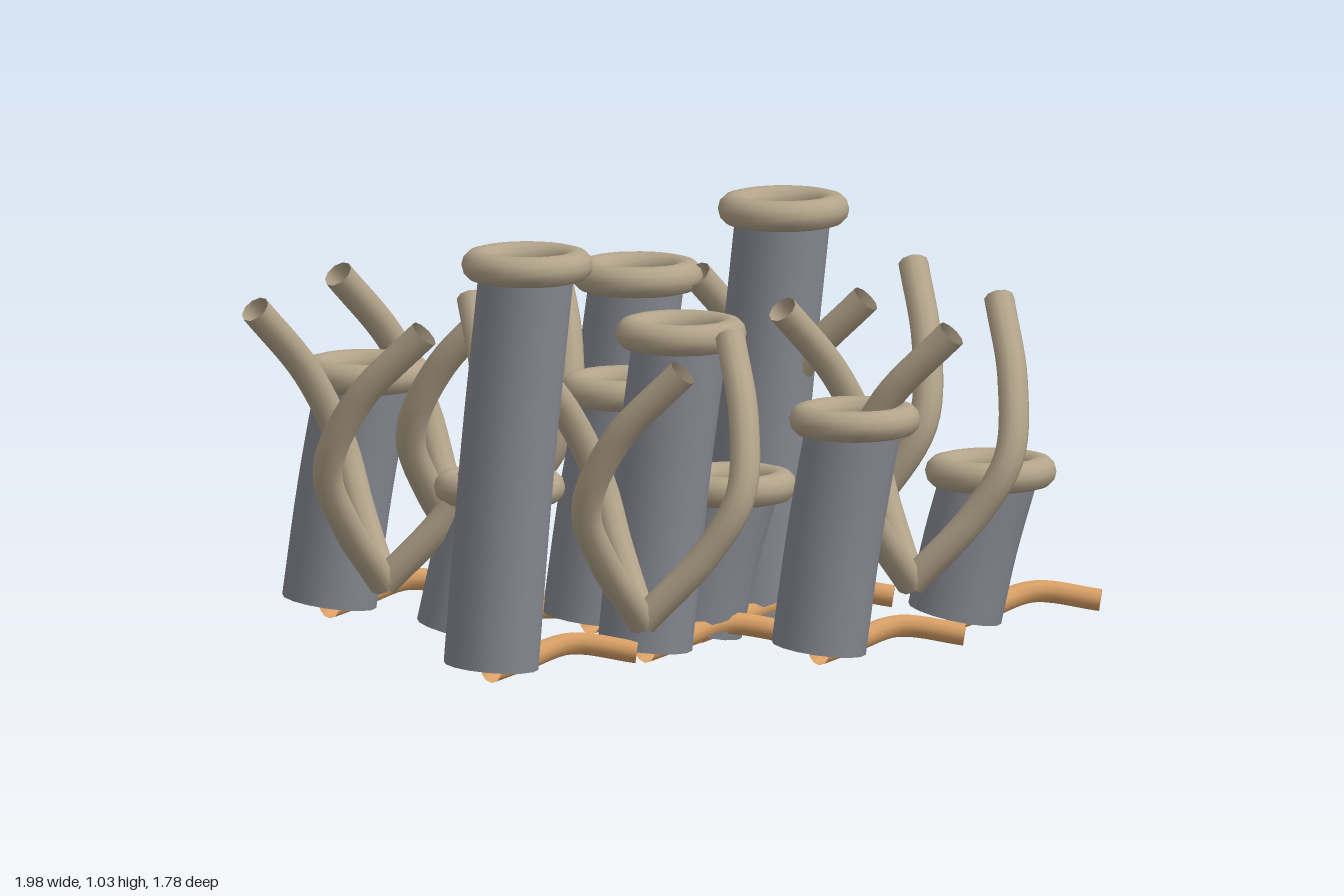
import * as THREE from 'three';

export function createModel() {
  const model = new THREE.Group();
  const mat = (name, color, side = THREE.DoubleSide) => {
    const m = new THREE.MeshStandardMaterial({ color, side });
    m.name = name;
    return m;
  };
  const grey = mat('tubeGrey', 0x888a93);
  const tan = mat('branchTan', 0xb3a48a);
  const orange = mat('rootOrange', 0xd9a066);
  const teal = mat('openingTeal', 0x4f6870);

  const v = (x, y, z) => new THREE.Vector3(x, y, z);
  const tube = (points, steps, radius, sides) =>
    new THREE.TubeGeometry(new THREE.CatmullRomCurve3(points), steps, radius, sides, false);
  const add = (parent, name, geometry, material) => {
    const mesh = new THREE.Mesh(geometry, material);
    mesh.name = name;
    parent.add(mesh);
    return mesh;
  };

  // Leaning hollow tubes: x and z of the mouth, height
  const LEAN = 0.085, BASE = 0.045;
  const tubes = [
    [-0.11, -0.64, 0.79], [-0.73, -0.385, 0.59], [-0.10, -0.20, 0.59],
    [0.26, -0.345, 1.0], [0.75, -0.33, 0.385], [-0.38, 0.005, 0.385],
    [0.16, -0.07, 0.385], [0.065, 0.205, 0.79], [0.475, 0.205, 0.59],
    [-0.27, 0.53, 1.0],
  ];
  const rimGeo = new THREE.TorusGeometry(0.118, 0.037, 12, 28).rotateX(Math.PI / 2);
  const discGeo = new THREE.CircleGeometry(0.1, 24).rotateX(-Math.PI / 2);
  const rootGeo = tube([
    v(0, 0.03, 0), v(0.07, 0.04, -0.13), v(0.17, 0.065, -0.215), v(0.325, 0.045, -0.222),
  ], 20, 0.027, 10);

  for (const [x, z, h] of tubes) {
    const g = new THREE.Group();
    g.name = 'tubeWithRoot';
    g.position.set(x - LEAN, 0, z);
    model.add(g);
    add(g, 'tubeWall', tube([
      v(0, BASE, 0), v(LEAN * 0.44, (BASE + h) / 2, 0), v(LEAN, h, 0),
    ], 10, 0.112, 16), grey);
    add(g, 'rim', rimGeo, tan).position.set(LEAN, h, 0);
    add(g, 'opening', discGeo, teal).position.set(LEAN, h - 0.015, 0);
    add(g, 'root', rootGeo, orange);
  }

  // Twisted three-armed branches
  const armGeo = tube([
    v(0, 0.16, 0), v(-0.08, 0.32, 0.125), v(-0.115, 0.46, 0.2),
    v(-0.04, 0.63, 0.245), v(0.12, 0.8, 0.285),
  ], 28, 0.036, 10);
  const clusters = [[-0.5, -0.49], [0.34, -0.56], [0.585, -0.06], [-0.65, 0.045], [0.005, 0.57]];
  for (const [x, z] of clusters) {
    const g = new THREE.Group();
    g.name = 'branchCluster';
    g.position.set(x, 0, z);
    model.add(g);
    for (let i = 0; i < 3; i++) add(g, 'arm', armGeo, tan).rotation.y = i * Math.PI * 2 / 3;
  }
  return model;
}
